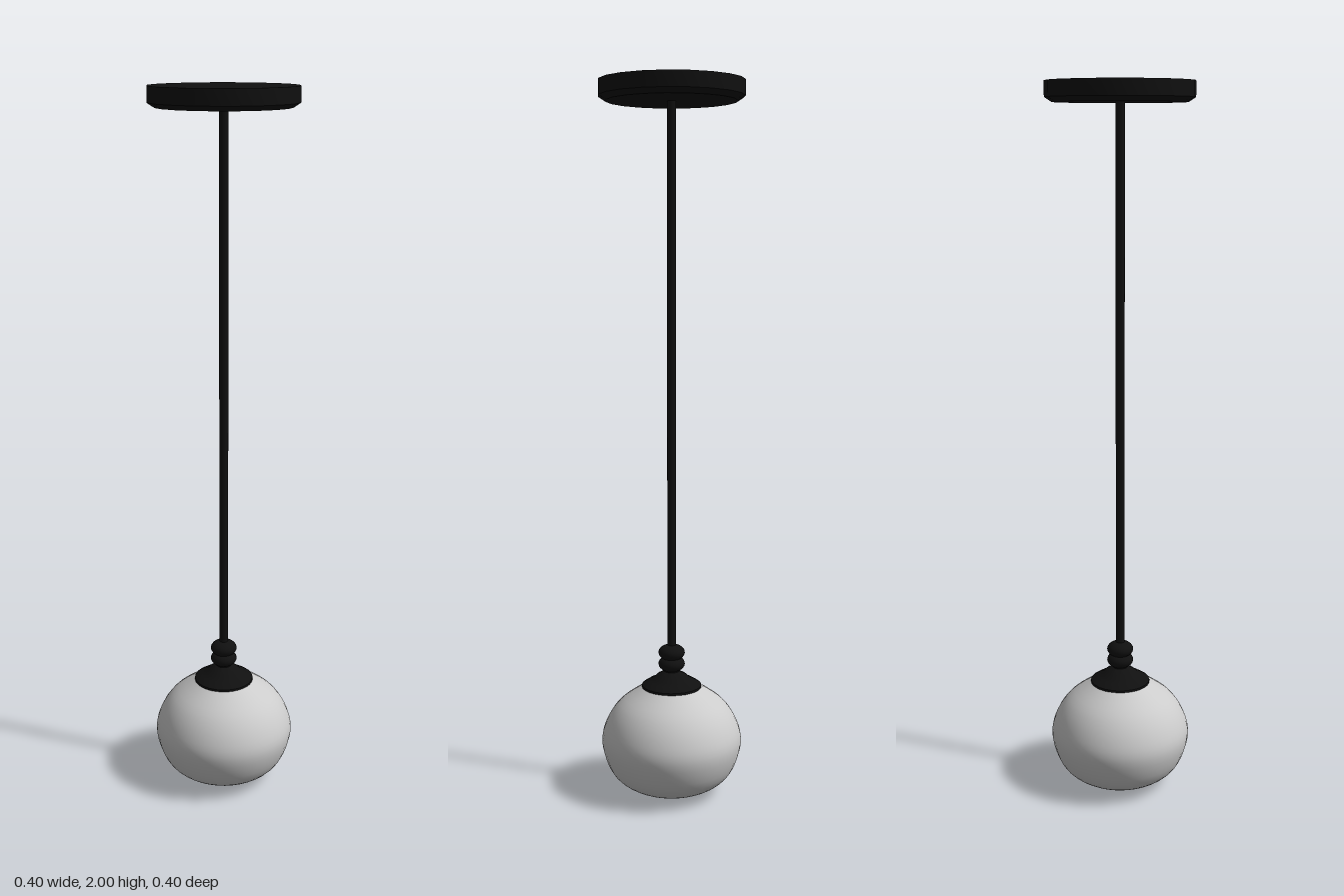
import * as THREE from 'three';
import { toCreasedNormals } from 'three/addons/utils/BufferGeometryUtils.js';

const black = new THREE.MeshStandardMaterial({ color: 0x101010 });
const glass = new THREE.MeshStandardMaterial({ color: 0xcccccc, side: THREE.DoubleSide });

const toPoints = (pairs) => pairs.map(([r, y]) => new THREE.Vector2(r, y));

function addPart(group, name, geometry, material, y = 0) {
  const mesh = new THREE.Mesh(geometry, material);
  mesh.name = name;
  mesh.position.y = y;
  group.add(mesh);
  return mesh;
}

// Turned part with crisp edges; profile runs bottom to top as [radius, y]
const turned = (pairs, sides) =>
  toCreasedNormals(new THREE.LatheGeometry(toPoints(pairs), sides), 0.5);

export function createModel() {
  const group = new THREE.Group();
  group.name = 'pendantLamp';

  // Ceiling plate with a chamfered lower edge
  addPart(group, 'ceilingCanopy',
    turned([[0, 1.945], [0.18, 1.945], [0.2, 1.958], [0.2, 2], [0, 2]], 20), black);

  // Long suspension rod
  addPart(group, 'rod', new THREE.CylinderGeometry(0.0125, 0.0125, 1.61, 16), black, 1.15);

  // Two stacked beads above the shade
  [0.41, 0.377].forEach((y, i) => {
    const bead = addPart(group, `bead${i + 1}`, new THREE.SphereGeometry(0.038, 20, 12), black, y);
    bead.scale.y = 0.62;
  });

  // Stepped cap holding the shade
  addPart(group, 'shadeCap', turned([
    [0, 0.305], [0.085, 0.305], [0.085, 0.315], [0.065, 0.328],
    [0.052, 0.334], [0.042, 0.344], [0.022, 0.355], [0.022, 0.37], [0, 0.37],
  ], 24), black);

  // Squat rounded shade with a flattened underside
  const shadeCurve = new THREE.SplineCurve(toPoints([
    [0, 0], [0.07, 0.006], [0.13, 0.026], [0.175, 0.068], [0.2, 0.145],
    [0.187, 0.207], [0.149, 0.263], [0.085, 0.309],
  ]));
  addPart(group, 'shade', new THREE.LatheGeometry(shadeCurve.getPoints(28), 40), glass);

  return group;
}
